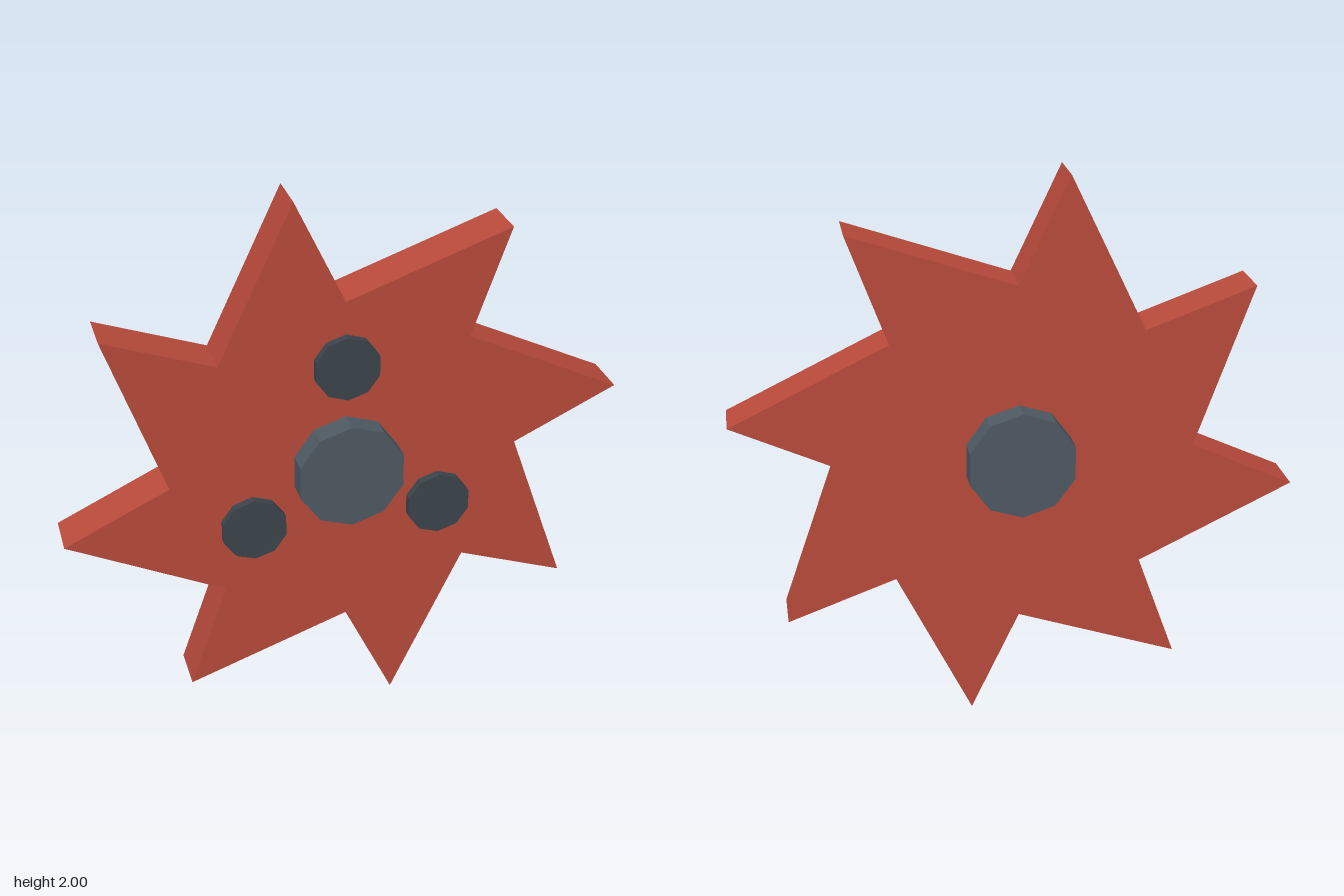
import * as THREE from 'three';

const CENTER_Y = 1;
const TEETH = 8;
const TIP_RADIUS = 1 / Math.cos(THREE.MathUtils.degToRad(10));
const VALLEY_RADIUS = 0.627;
const HALF_THICKNESS = 0.086;

const material = (color) => new THREE.MeshStandardMaterial({ color, flatShading: true });

// Ten-sided plug lying along z, with a corner pointing up
function plug(name, radius, zBack, zFront, mat) {
  const geometry = new THREE.CylinderGeometry(radius, radius, zFront - zBack, 10);
  geometry.rotateX(Math.PI / 2);
  const mesh = new THREE.Mesh(geometry, mat);
  mesh.name = name;
  mesh.position.z = (zFront + zBack) / 2;
  return mesh;
}

export function createModel() {
  const group = new THREE.Group();
  group.name = 'sawBlade';

  // Blade: valleys every 45 degrees, each tooth tip leaning 10 degrees past a valley
  const points = [];
  for (let i = 0; i < TEETH; i++) {
    const valley = (i / TEETH) * Math.PI * 2;
    const tip = valley + THREE.MathUtils.degToRad(10);
    points.push(new THREE.Vector2(Math.cos(valley), Math.sin(valley)).multiplyScalar(VALLEY_RADIUS));
    points.push(new THREE.Vector2(Math.cos(tip), Math.sin(tip)).multiplyScalar(TIP_RADIUS));
  }
  const bladeGeometry = new THREE.ExtrudeGeometry(new THREE.Shape(points), {
    depth: HALF_THICKNESS * 2,
    bevelEnabled: false,
  });
  bladeGeometry.translate(0, 0, -HALF_THICKNESS);
  const blade = new THREE.Mesh(bladeGeometry, material(0xb84a3a));
  blade.name = 'blade';
  group.add(blade);

  // Hub through the middle, showing on both faces
  group.add(plug('hub', 0.195, -0.172, 0.172, material(0x4e5962)));

  // Three bolts on the front face
  const boltMaterial = material(0x3b444b);
  for (let i = 0; i < 3; i++) {
    const angle = Math.PI / 2 + (i / 3) * Math.PI * 2;
    const bolt = plug(`bolt${i + 1}`, 0.118, 0.05, 0.117, boltMaterial);
    bolt.position.x = Math.cos(angle) * 0.39;
    bolt.position.y = Math.sin(angle) * 0.39;
    group.add(bolt);
  }

  for (const part of group.children) part.position.y += CENTER_Y;
  return group;
}
